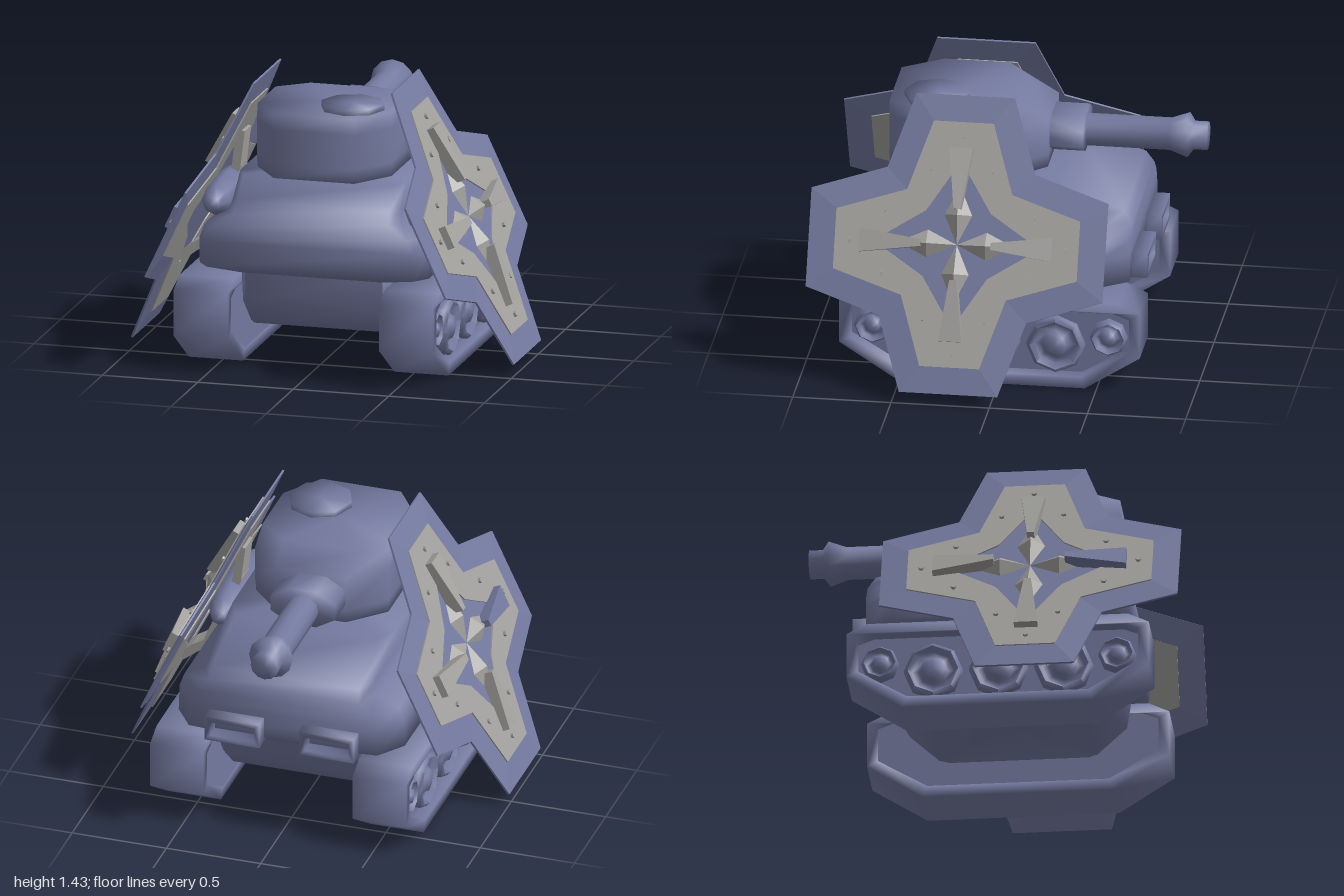
import * as THREE from 'three';
import { toCreasedNormals } from 'three/addons/utils/BufferGeometryUtils.js';

const blue = new THREE.MeshStandardMaterial({ color: 0x747aa0 });
const blueFlat = new THREE.MeshStandardMaterial({ color: 0x747aa0, flatShading: true });
const grey = new THREE.MeshStandardMaterial({ color: 0xa3a29f, flatShading: true });

function add(parent, name, geometry, material, x = 0, y = 0, z = 0) {
  const mesh = new THREE.Mesh(geometry, material);
  mesh.name = name;
  mesh.position.set(x, y, z);
  parent.add(mesh);
  return mesh;
}

// Soft shading across every edge, right angles included
const soften = geometry => toCreasedNormals(geometry, 1.7);

// Skin over a stack of rings of [x, y, z] points, closed at both ends
function loft(rings) {
  const n = rings[0].length, pos = rings.flat(2), index = [];
  rings.slice(1).forEach((_, i) => {
    for (let j = 0; j < n; j++) {
      const a = i * n + j, b = i * n + (j + 1) % n;
      index.push(a, b, b + n, a, b + n, a + n);
    }
  });
  [0, rings.length - 1].forEach((r, end) => {
    const c = pos.length / 3;
    for (let k = 0; k < 3; k++) pos.push(rings[r].reduce((s, p) => s + p[k], 0) / n);
    for (let j = 0; j < n; j++) {
      const a = r * n + j, b = r * n + (j + 1) % n;
      index.push(...(end ? [a, b, c] : [b, a, c]));
    }
  });
  const g = new THREE.BufferGeometry();
  g.setAttribute('position', new THREE.Float32BufferAttribute(pos, 3));
  g.setIndex(index);
  return soften(g);
}

// Horizontal octagon: half width, front z, back z, front chamfer [x, z], back chamfer [x, z]
const octagon = (y, w, f, b, [fx, fz], [bx, bz]) => [
  [-w + fx, y, f], [w - fx, y, f], [w, y, f - fz], [w, y, b + bz],
  [w - bx, y, b], [-w + bx, y, b], [-w, y, b + bz], [-w, y, f - fz]];

// Twelve-cornered cross: arm length, arm half width, notch corner
function cross(len, half, notch) {
  const pts = [];
  for (let k = 0; k < 4; k++) {
    const c = Math.round(Math.cos(k * Math.PI / 2)), s = Math.round(Math.sin(k * Math.PI / 2));
    for (const [x, y] of [[len, -half], [len, half], [notch, notch]]) pts.push([x * c - y * s, x * s + y * c]);
  }
  return pts;
}
const toPoints = pts => pts.map(p => new THREE.Vector2(...p));
function plate(outline, hole, depth) {
  const shape = new THREE.Shape(toPoints(outline));
  if (hole) shape.holes.push(new THREE.Path(toPoints(hole)));
  return new THREE.ExtrudeGeometry(shape, { depth, bevelEnabled: false });
}
const rect = (w, h) => [[-w, -h], [w, -h], [w, h], [-w, h]];

// Shield built facing +z, then turned out to one side and leaned inward
function makeShield(side) {
  const g = new THREE.Group();
  g.name = side > 0 ? 'leftShield' : 'rightShield';
  const ring = (pts, z) => pts.map(([x, y]) => [x, y, z]);
  const rim = cross(0.755, 0.25, 0.375), inner = cross(0.62, 0.152, 0.267);
  add(g, 'shieldPlate', loft([ring(inner, -0.015), ring(rim, -0.005), ring(rim, 0.005), ring(inner, 0.015)]), blueFlat);
  const inlay = plate(inner, cross(0.36, 0.04, 0.165), 0.012);
  add(g, 'outerInlay', inlay, grey, 0, 0, 0.01);
  add(g, 'innerInlay', inlay, grey, 0, 0, -0.022);

  for (let k = 0; k < 4; k++) {
    const arm = new THREE.Group();
    arm.name = 'shieldArm';
    arm.rotation.z = k * Math.PI / 2;
    g.add(arm);
    // Faceted diamond of the centre star
    add(arm, 'starPoint', new THREE.ConeGeometry(1, 0.05, 4).rotateX(Math.PI / 2).scale(0.07, 0.15, 1), grey, 0, 0.15, 0.04);
    // Flared blade; one on the right shield is painted like the plate
    const section = (y, w, top) => [[-w, y, 0.012], [-w, y, top], [w, y, top], [w, y, 0.012]];
    add(arm, 'blade', loft([section(0.18, 0.018, 0.085), section(0.49, 0.06, 0.06)]), side < 0 && k === 3 ? blueFlat : grey);
    for (const [x, y] of [[0, 0.55], [0.157, 0.38], [-0.157, 0.38]])
      add(arm, 'bolt', new THREE.CylinderGeometry(0.014, 0.014, 0.016, 6).rotateX(Math.PI / 2), grey, x, y, 0.028);
  }

  // Bent bracket bars on the inside, as [y, z] paths
  for (const path of [[[0.42, -0.02], [0.25, -0.075], [0.13, -0.09]], [[0.03, -0.09], [-0.18, -0.1], [-0.24, -0.06], [-0.32, -0.02]]])
    path.slice(1).forEach(([y, z], i) => {
      const [y0, z0] = path[i], dy = y - y0, dz = z - z0;
      const bar = add(g, 'bracketBar', new THREE.BoxGeometry(0.12, Math.hypot(dy, dz) + 0.02, 0.045), grey, 0, (y + y0) / 2, (z + z0) / 2);
      bar.rotation.x = Math.atan2(dz, dy);
    });
  g.rotation.set(0, side * Math.PI / 2, side * THREE.MathUtils.degToRad(25), 'ZYX');
  g.position.set(side * 0.68, 0.745, 0.21);
  return g;
}

// Track unit with a recessed outer face and five wheels, built facing +z
function makeTrack(side) {
  const g = new THREE.Group();
  g.name = side > 0 ? 'leftTrack' : 'rightTrack';
  const mirror = pts => [...pts, ...pts.map(([x, y]) => [-x, y]).reverse()];
  const outline = mirror([[0.485, 0], [0.765, 0.18], [0.765, 0.42], [0.66, 0.47]]);
  const recess = mirror([[0.46, 0.06], [0.71, 0.21], [0.71, 0.385], [0.63, 0.415]]);
  add(g, 'trackBand', soften(plate(outline, recess, 0.285)), blue);
  add(g, 'trackCore', plate(recess, null, 0.215), blue);
  for (const [x, y, r] of [[-0.6, 0.265, 0.095], [-0.33, 0.215, 0.15], [0, 0.215, 0.15], [0.33, 0.215, 0.15], [0.6, 0.265, 0.095]]) {
    const profile = [[1, 0], [1, 0.035], [0.86, 0.055], [0.72, 0.02], [0.5, 0.02], [0.38, 0.05], [0, 0.062]];
    const wheel = new THREE.LatheGeometry(profile.map(([a, b]) => new THREE.Vector2(a * r, b)), 8);
    add(g, 'wheel', soften(wheel.rotateX(Math.PI / 2)), blue, x, y, 0.213);
  }
  g.rotation.y = side * Math.PI / 2;
  g.position.set(side * 0.395, 0, 0.045);
  return g;
}

export function createModel() {
  const model = new THREE.Group();
  model.name = 'shieldedTank';

  // Hull: a tapered belly, then wide sponsons stepping in to a narrower deck
  add(model, 'lowerHull', loft([
    octagon(0.18, 0.39, 0.45, -0.35, [0.03, 0.05], [0.03, 0.05]),
    octagon(0.32, 0.39, 0.6, -0.5, [0.03, 0.05], [0.03, 0.05]),
    octagon(0.52, 0.39, 0.63, -0.61, [0.03, 0.05], [0.03, 0.05])]), blue);
  add(model, 'upperHull', loft([
    octagon(0.49, 0.42, 0.64, -0.6, [0.05, 0.05], [0.05, 0.1]),
    octagon(0.52, 0.6, 0.69, -0.64, [0.06, 0.08], [0.1, 0.14]),
    octagon(0.66, 0.595, 0.71, -0.64, [0.06, 0.08], [0.1, 0.14]),
    octagon(0.73, 0.57, 0.7, -0.64, [0.06, 0.08], [0.1, 0.14]),
    octagon(0.8, 0.45, 0.68, -0.64, [0.04, 0.08], [0.05, 0.12]),
    octagon(0.86, 0.44, 0.63, -0.6, [0.04, 0.08], [0.05, 0.12]),
    octagon(0.97, 0.435, 0.52, -0.25, [0.04, 0.08], [0.05, 0.12])]), blue);

  // Open rectangular frames on the rear
  for (const x of [-0.255, 0.245])
    add(model, 'rearFrame', soften(plate(rect(0.145, 0.067), rect(0.115, 0.037), 0.12)), blue, x, 0.565, -0.718);

  // Turret
  const front = [0.14, 0.2], back = [0.17, 0.17];
  add(model, 'turret', loft([
    octagon(0.988, 0.35, 0.62, -0.18, front, back),
    octagon(1.06, 0.355, 0.62, -0.185, front, back),
    octagon(1.24, 0.355, 0.62, -0.185, front, back),
    octagon(1.32, 0.35, 0.62, -0.03, front, [0.15, 0.12])]), blue);
  add(model, 'hatch', soften(new THREE.CylinderGeometry(0.165, 0.165, 0.04, 8)), blue, 0.14, 1.33, 0.39);

  // Gun
  const mantlet = new THREE.CylinderGeometry(0.184, 0.184, 0.3, 8).rotateY(Math.PI / 8).rotateX(-Math.PI / 2).scale(1, 0.59, 1);
  add(model, 'mantlet', soften(mantlet), blue, -0.01, 1.135, -0.205);
  const barrel = [[0.083, 0.2], [0.083, 0.78], [0.115, 0.87], [0.073, 0.9], [0.073, 0.97], [0, 0.97]];
  const barrelGeo = new THREE.LatheGeometry(toPoints(barrel), 12).rotateX(-Math.PI / 2);
  add(model, 'barrel', soften(barrelGeo), blue, -0.01, 1.125, 0);

  // Tracks, shields and the long rounded joints carrying them
  for (const side of [1, -1]) {
    model.add(makeTrack(side), makeShield(side));
    const joint = new THREE.SphereGeometry(1, 8, 8).rotateX(Math.PI / 2).scale(0.105, 0.105, 0.37);
    add(model, 'shieldJoint', joint, blue, side * 0.535, 0.825, 0.28);
  }
  return model;
}
